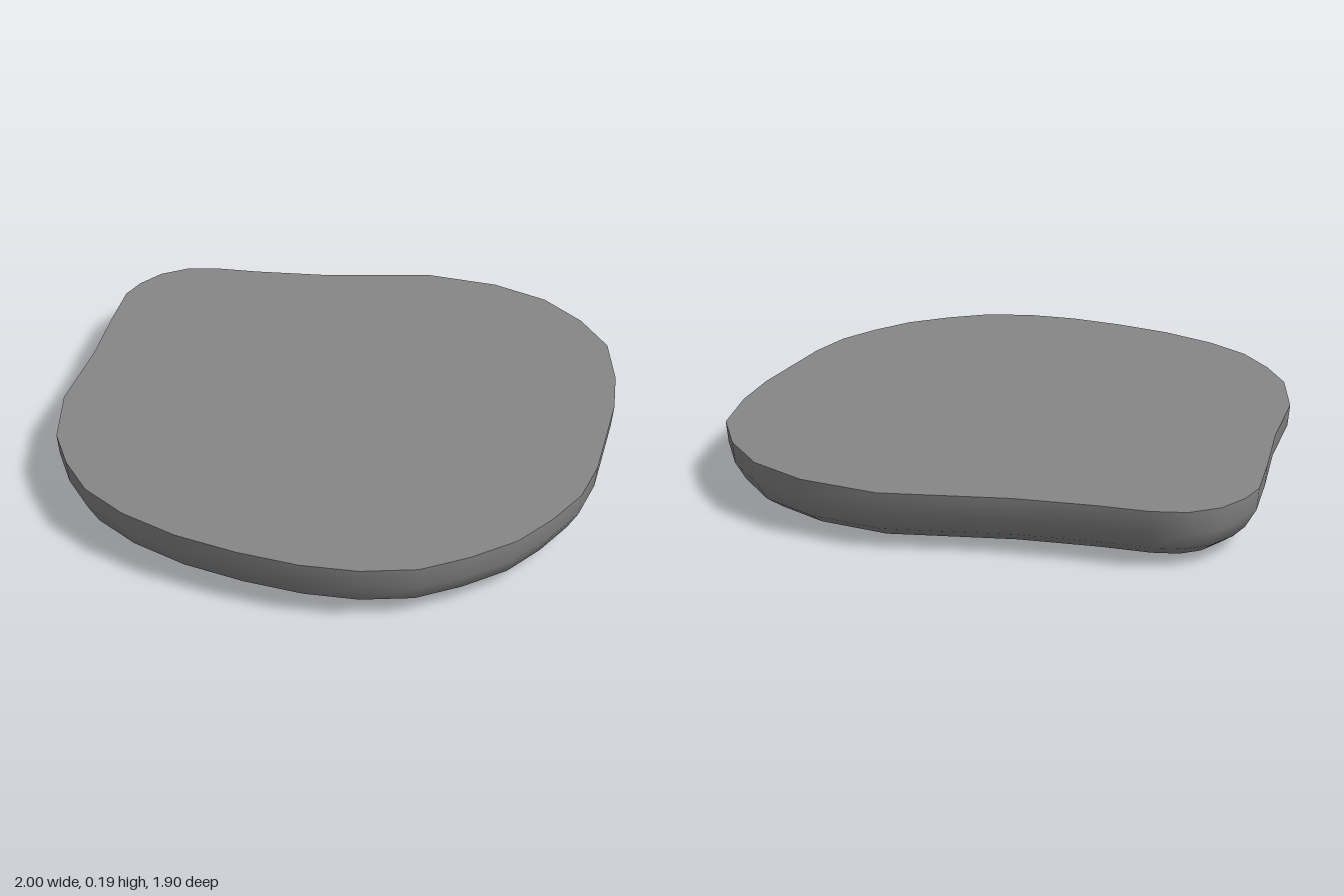
import * as THREE from 'three';

// Outline of the slab seen from above: x, z pairs, starting at the back
const OUTLINE = [
  [-0.03, -0.95], [0.16, -0.95], [0.34, -0.905], [0.51, -0.78], [0.64, -0.65], [0.75, -0.51],
  [0.86, -0.37], [0.94, -0.23], [0.98, -0.08], [1, 0.07], [0.98, 0.23], [0.94, 0.38],
  [0.85, 0.52], [0.73, 0.64], [0.58, 0.75], [0.41, 0.85], [0.23, 0.92], [0.06, 0.95],
  [-0.1, 0.93], [-0.25, 0.885], [-0.44, 0.76], [-0.63, 0.55], [-0.81, 0.38], [-0.94, 0.25],
  [-0.98, 0.17], [-1, 0.07], [-0.98, -0.03], [-0.92, -0.12], [-0.81, -0.23], [-0.65, -0.41],
  [-0.42, -0.73], [-0.22, -0.88],
];

// Rounded lower edge: [inset from outline, height]
const PROFILE = [[0, 0.19], [0.005, 0.12], [0.037, 0.06], [0.09, 0.02], [0.17, 0]];

const N = OUTLINE.length;

// Outline moved inwards along its normals
function ring(inset, y) {
  return OUTLINE.map(([x, z], i) => {
    const a = OUTLINE[(i + N - 1) % N];
    const b = OUTLINE[(i + 1) % N];
    const t = new THREE.Vector2(b[0] - a[0], b[1] - a[1]).normalize();
    return [x - t.y * inset, y, z + t.x * inset];
  });
}

function buildGeometry(points, index) {
  const g = new THREE.BufferGeometry();
  g.setAttribute('position', new THREE.Float32BufferAttribute(points.flat(), 3));
  g.setIndex(index);
  g.computeVertexNormals();
  return g;
}

export function createModel() {
  const group = new THREE.Group();
  group.name = 'roundedSlab';
  const material = new THREE.MeshStandardMaterial({ color: 0x878787 });
  const add = (name, points, index) => {
    const mesh = new THREE.Mesh(buildGeometry(points, index), material);
    mesh.name = name;
    group.add(mesh);
  };

  // Curved wall running smoothly into the flat underside
  const shell = PROFILE.flatMap(([inset, y]) => ring(inset, y));
  const shellIndex = [];
  const last = (PROFILE.length - 1) * N;
  const centre = shell.push([0, 0, 0]) - 1;
  for (let i = 0; i < N; i++) {
    const j = (i + 1) % N;
    for (let r = 0; r < last; r += N) {
      shellIndex.push(r + i, r + j, r + N + j, r + i, r + N + j, r + N + i);
    }
    shellIndex.push(centre, last + i, last + j);
  }
  add('wallAndUnderside', shell, shellIndex);

  // Flat top with a sharp rim
  const top = ring(...PROFILE[0]);
  const topIndex = [];
  top.push([0, PROFILE[0][1], 0]);
  for (let i = 0; i < N; i++) topIndex.push(N, (i + 1) % N, i);
  add('flatTop', top, topIndex);

  return group;
}
